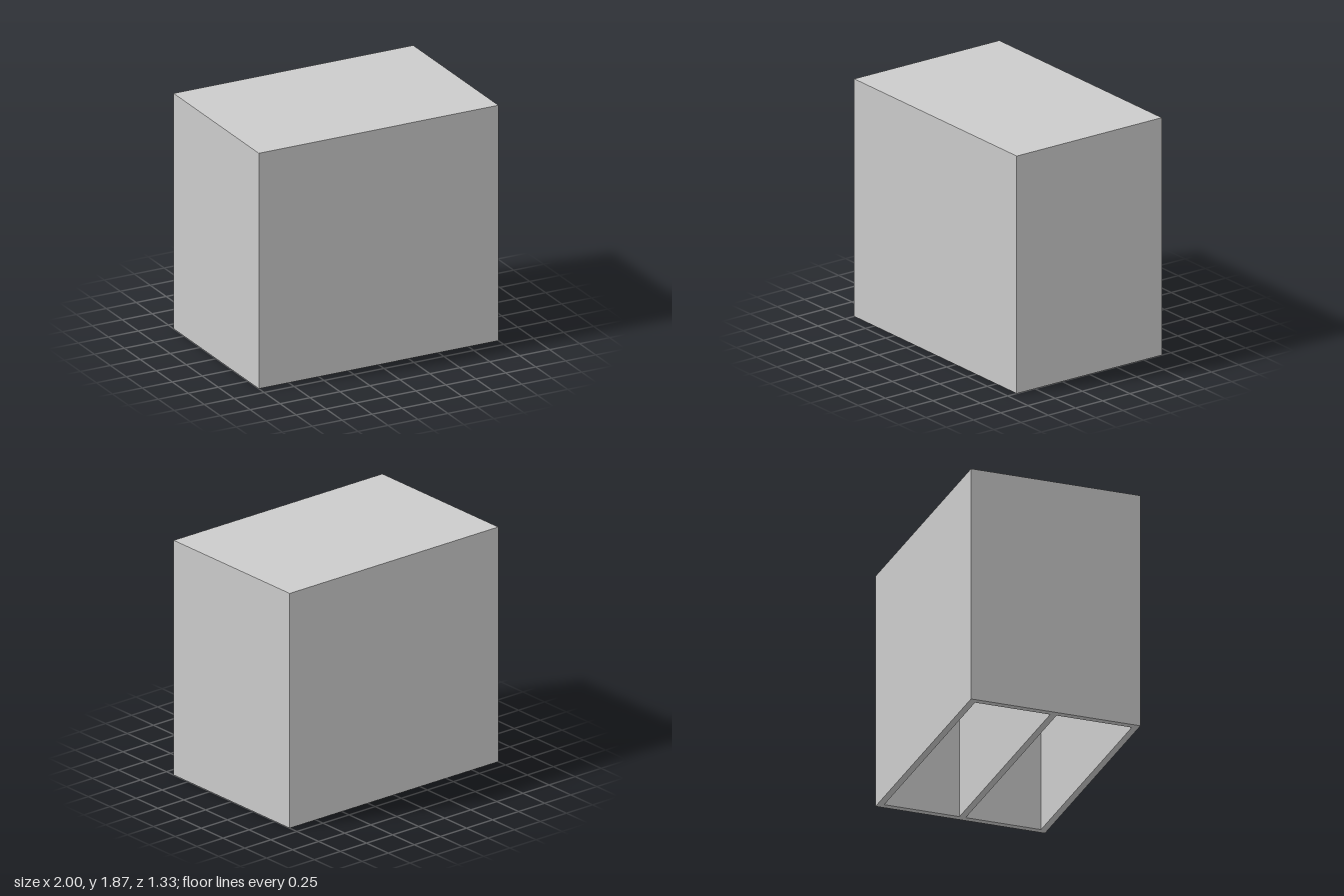
import * as THREE from 'three';

const W = 2, H = 1.87, D = 1.333, T = 0.05;

// Rectangle outline in the floor plane
function rect(PathType, x0, y0, x1, y1) {
  const p = new PathType();
  p.moveTo(x0, y0);
  p.lineTo(x1, y0);
  p.lineTo(x1, y1);
  p.lineTo(x0, y1);
  p.closePath();
  return p;
}

export function createModel() {
  const group = new THREE.Group();
  group.name = 'dividedCover';
  const material = new THREE.MeshStandardMaterial({ color: 0xcccccc });

  // Outer walls and central divider, open underneath
  const plan = rect(THREE.Shape, -W / 2, -D / 2, W / 2, D / 2);
  for (const side of [-1, 1]) {
    const a = side * T / 2, b = side * (D / 2 - T);
    plan.holes.push(rect(THREE.Path, -W / 2 + T, Math.min(a, b), W / 2 - T, Math.max(a, b)));
  }
  const wallGeometry = new THREE.ExtrudeGeometry(plan, { depth: H - T, bevelEnabled: false });
  wallGeometry.rotateX(-Math.PI / 2);
  const walls = new THREE.Mesh(wallGeometry, material);
  walls.name = 'wallsAndDivider';
  group.add(walls);

  // Closed top panel
  const top = new THREE.Mesh(new THREE.BoxGeometry(W, T, D), material);
  top.name = 'topPanel';
  top.position.y = H - T / 2;
  group.add(top);

  return group;
}
